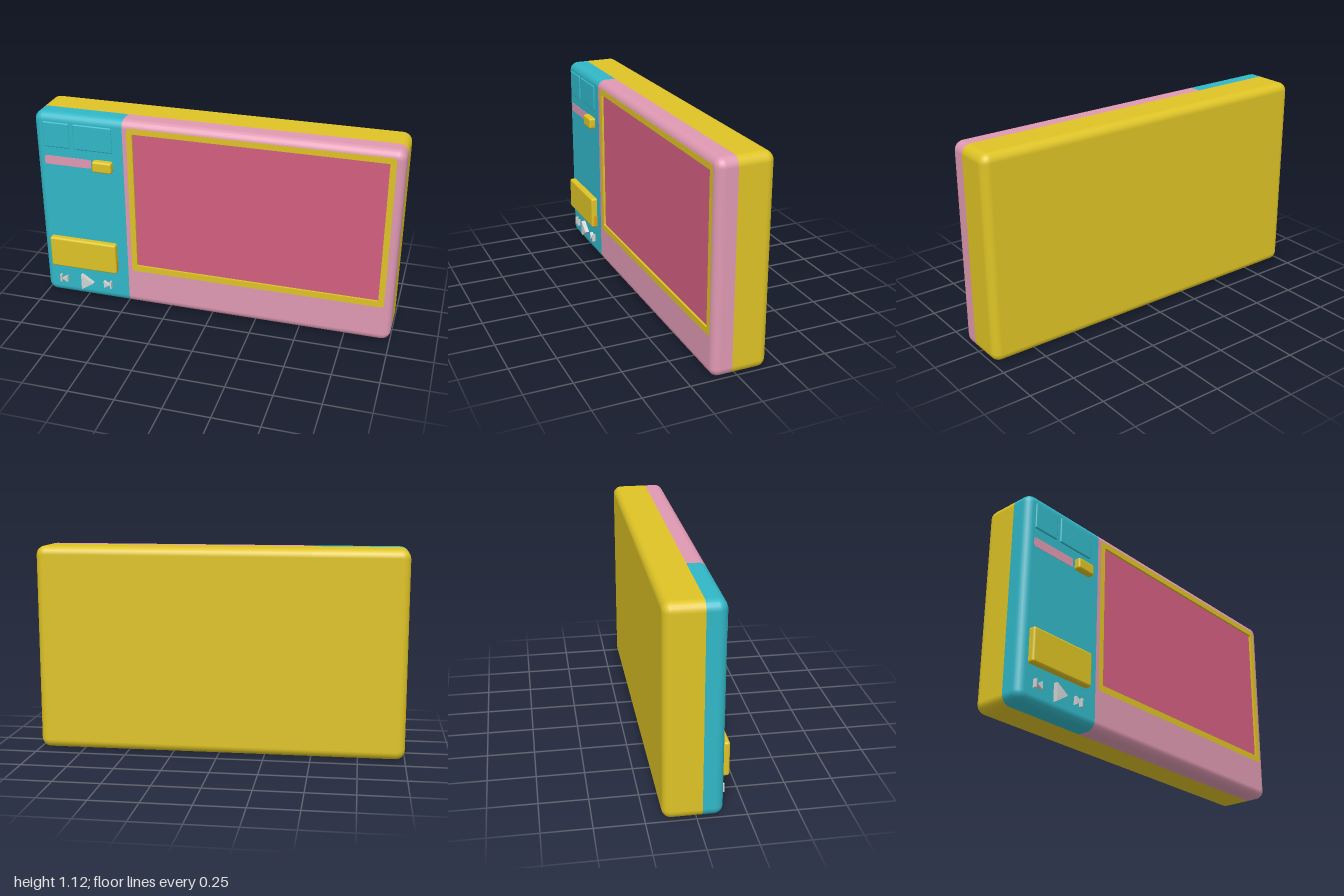
import * as THREE from 'three';
import { RoundedBoxGeometry } from 'three/addons/geometries/RoundedBoxGeometry.js';

const mat = (name, color) => {
  const m = new THREE.MeshStandardMaterial({ color });
  m.name = name;
  return m;
};

const H = 1.12, R = 0.05, EDGE = 0.045;          // body height, corner radius, edge rounding
const BACK = -0.167, SPLIT = 0.028, FRONT = 0.133, SEAM = -0.49;

// Outline points: centre plus outward normal
const corner = (cx, cy, start) => Array.from({ length: 7 }, (_, i) => {
  const a = start + (i / 6) * Math.PI / 2;
  return { cx, cy, nx: Math.cos(a), ny: Math.sin(a) };
});
const seamTop = { cx: SEAM, cy: H - R, nx: 0, ny: 1 };
const seamBottom = { cx: SEAM, cy: R, nx: 0, ny: -1 };
const rightOutline = [seamBottom, ...corner(1 - R, R, -Math.PI / 2), ...corner(1 - R, H - R, 0), seamTop];
const leftOutline = [seamTop, ...corner(R - 1, H - R, Math.PI / 2), ...corner(R - 1, R, Math.PI), seamBottom];
const fullOutline = [...rightOutline, ...leftOutline.slice(1)];

// Profile steps: inset, z and normal (in-plane, z)
const frontProfile = [{ d: 0, z: SPLIT, a: 1, b: 0 }], backProfile = [];
for (let i = 0; i <= 6; i++) {
  const t = (i / 6) * Math.PI / 2, c = Math.cos(t), s = Math.sin(t);
  frontProfile.push({ d: EDGE * (1 - c), z: FRONT - EDGE * (1 - s), a: c, b: s });
  backProfile.push({ d: EDGE * (1 - s), z: BACK + EDGE * (1 - c), a: s, b: -c });
}
backProfile.push({ d: 0, z: SPLIT, a: 1, b: 0 });

// Smooth wall swept along an outline
function wall(outline, profile) {
  const pos = [], nor = [], idx = [], n = outline.length;
  profile.forEach((p, j) => outline.forEach((o, i) => {
    pos.push(o.cx + o.nx * (R - p.d), o.cy + o.ny * (R - p.d), p.z);
    nor.push(o.nx * p.a, o.ny * p.a, p.b);
    if (j < profile.length - 1 && i < n - 1) {
      const k = j * n + i;
      idx.push(k, k + 1, k + n + 1, k, k + n + 1, k + n);
    }
  }));
  const g = new THREE.BufferGeometry();
  g.setAttribute('position', new THREE.Float32BufferAttribute(pos, 3));
  g.setAttribute('normal', new THREE.Float32BufferAttribute(nor, 3));
  g.setIndex(idx);
  return g;
}

const capShape = (outline) => new THREE.Shape(outline.map((o) =>
  new THREE.Vector2(o.cx + o.nx * (R - EDGE), o.cy + o.ny * (R - EDGE))));

// Rectangle with rounded corners from its bounds
function rect(x0, y0, x1, y1, r) {
  const s = new THREE.Shape();
  s.absarc(x1 - r, y0 + r, r, -Math.PI / 2, 0);
  s.absarc(x1 - r, y1 - r, r, 0, Math.PI / 2);
  s.absarc(x0 + r, y1 - r, r, Math.PI / 2, Math.PI);
  s.absarc(x0 + r, y0 + r, r, Math.PI, Math.PI * 1.5);
  s.closePath();
  return s;
}

export function createModel() {
  const yellow = mat('yellow', 0xdec325);
  const pink = mat('pink', 0xdf99b2);
  const teal = mat('teal', 0x31b7c7);
  const rose = mat('rose', 0xd35f80);
  const silver = mat('silver', 0xd2d4d4);
  const orange = mat('orange', 0xe8a010);

  const model = new THREE.Group();
  model.name = 'handheldPlayer';
  const add = (name, geometry, material, parent = model) => {
    const m = new THREE.Mesh(geometry, material);
    m.name = name;
    parent.add(m);
    return m;
  };
  const extrude = (shape, z0, z1) => new THREE.ExtrudeGeometry(shape,
    { depth: z1 - z0, bevelEnabled: false, curveSegments: 6 }).translate(0, 0, z0);
  const block = (name, x0, y0, x1, y1, z0, z1, r, material) => {
    const m = add(name, new RoundedBoxGeometry(x1 - x0, y1 - y0, z1 - z0, 3, r), material);
    m.position.set((x0 + x1) / 2, (y0 + y1) / 2, (z0 + z1) / 2);
  };

  // Back shell
  add('backShell', wall(fullOutline, backProfile), yellow);
  add('backFace', new THREE.ShapeGeometry(capShape(fullOutline)).rotateY(Math.PI).translate(0, 0, BACK), yellow);

  // Front shell in two colours, with an opening for the screen
  add('screenSideShell', wall(rightOutline, frontProfile), pink);
  const screenFace = capShape(rightOutline);
  screenFace.holes.push(rect(-0.466, 0.215, 0.955, 1.082, 0.02));
  add('screenSideFace', new THREE.ShapeGeometry(screenFace, 6).translate(0, 0, FRONT), pink);
  add('controlSideShell', wall(leftOutline, frontProfile), teal);
  add('controlSideFace', new THREE.ShapeGeometry(capShape(leftOutline)).translate(0, 0, FRONT), teal);

  // Screen sunk into its frame
  const frame = rect(-0.466, 0.215, 0.955, 1.082, 0.02);
  frame.holes.push(rect(-0.435, 0.25, 0.923, 1.05, 0.006));
  add('screenFrame', extrude(frame, 0.11, FRONT), yellow);
  const screen = add('screen', new THREE.PlaneGeometry(1.37, 0.81), rose);
  screen.position.set(0.244, 0.65, 0.122);

  // Controls
  block('smallPad', -0.947, 0.925, -0.795, 1.072, 0.12, 0.139, 0.008, teal);
  block('widePad', -0.773, 0.925, -0.551, 1.072, 0.12, 0.139, 0.008, teal);
  add('sliderTrack', extrude(rect(-0.948, 0.822, -0.676, 0.873, 0.012), 0.13, 0.135), pink);
  block('sliderKnob', -0.662, 0.815, -0.551, 0.879, 0.12, 0.167, 0.012, yellow);
  block('mainButton', -0.947, 0.192, -0.551, 0.376, 0.12, 0.167, 0.012, yellow);

  // Orange marks on the button sides
  for (const [name, y, h] of [['knobSideMark', 0.83, 0.01], ['buttonSideMark', 0.234, 0.06]]) {
    add(name, new THREE.BoxGeometry(0.002, h, 0.022), orange).position.set(-0.551, y, 0.144);
  }

  // Playback symbols
  const triangle = (x0, x1, y, h) => new THREE.Shape([
    new THREE.Vector2(x0, y - h), new THREE.Vector2(x1, y), new THREE.Vector2(x0, y + h)]);
  add('playSymbol', extrude(triangle(-0.775, -0.703, 0.1, 0.048), 0.12, 0.158), silver);
  for (const [name, x, s] of [['previousSymbol', -0.887, -1], ['nextSymbol', -0.616, 1]]) {
    const symbol = new THREE.Group();
    symbol.name = name;
    symbol.position.x = x;
    if (s < 0) symbol.rotation.z = Math.PI;
    symbol.position.y = 0.102;
    add('arrow', extrude(triangle(-0.023, 0.012, 0, 0.022), 0.12, 0.152), silver, symbol);
    add('bar', new THREE.BoxGeometry(0.009, 0.044, 0.032), silver, symbol).position.set(0.018, 0, 0.136);
    model.add(symbol);
  }
  return model;
}
